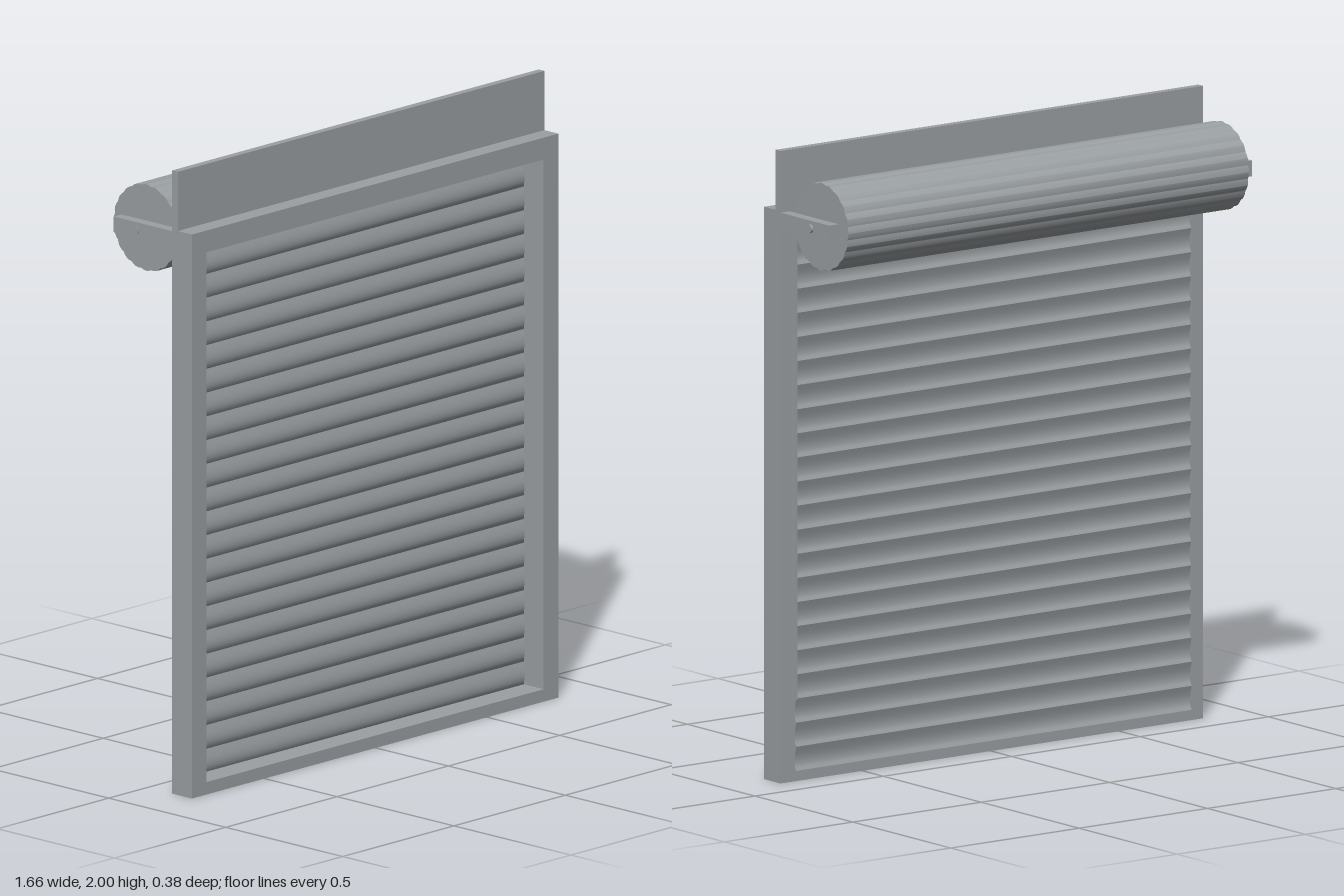
import * as THREE from 'three';
import { toCreasedNormals } from 'three/addons/utils/BufferGeometryUtils.js';

export function createModel() {
  const model = new THREE.Group();
  const steel = new THREE.MeshStandardMaterial({ color: 0x9ba0a3 });
  const cx = -0.003;

  function add(name, geometry, x, y, z) {
    const mesh = new THREE.Mesh(geometry, steel);
    mesh.name = name;
    mesh.position.set(x, y, z);
    model.add(mesh);
  }
  // side profile of (z, y) points, extruded along x and centred
  function profile(points, width, crease) {
    const geometry = new THREE.ExtrudeGeometry(new THREE.Shape(points), { depth: width, bevelEnabled: false });
    geometry.translate(0, 0, -width / 2);
    geometry.rotateY(-Math.PI / 2);
    return toCreasedNormals(geometry, crease);
  }
  const v = (x, y) => new THREE.Vector2(x, y);

  // Frame with its rectangular opening, and the panel on top
  const outline = new THREE.Shape([v(-0.826, 0), v(0.82, 0), v(0.82, 1.81), v(-0.826, 1.81)]);
  outline.holes.push(new THREE.Path([v(-0.76, 0.04), v(-0.76, 1.74), v(0.754, 1.74), v(0.754, 0.04)]));
  add('frame', new THREE.ExtrudeGeometry(outline, { depth: 0.085, bevelEnabled: false }), 0, 0, 0.105);
  add('headerPanel', new THREE.BoxGeometry(1.646, 0.19, 0.025), cx, 1.905, 0.1175);

  // Curtain of curved interlocking slats
  const pitch = 0.0762;
  const steps = 8;
  const front = [], back = [];
  for (let i = 0; i <= steps; i++) {
    const t = i / steps;
    const bulge = 0.009 * Math.sin(Math.PI * Math.pow(t, 0.75));
    front.push(v(0.099 + bulge, t * pitch));
    back.unshift(v(0.094 + bulge, t * pitch));
  }
  const slatGeometry = profile([...front, ...back], 1.54, 0.5);
  for (let i = 0; i < 23; i++) add('slat', slatGeometry, cx, 0.035 + i * pitch, 0);

  // Fluted roll of wound slats
  const lobes = 20, perLobe = 4, ring = [];
  for (let i = 0; i < lobes * perLobe; i++) {
    const a = ((i - perLobe / 2) / (lobes * perLobe)) * Math.PI * 2;
    const r = 0.135 + 0.004 * Math.sin(((i % perLobe) / perLobe) * Math.PI);
    ring.push(v(r * Math.cos(a), r * Math.sin(a)));
  }
  add('roll', profile(ring, 1.56, 0.28), cx, 1.78, -0.047);

  // Axle through both brackets
  const axle = new THREE.CylinderGeometry(0.013, 0.013, 1.656, 16);
  axle.rotateZ(Math.PI / 2);
  add('axle', axle, 0, 1.78, -0.05);

  // Brackets and guide rails on both sides
  for (const s of [-1, 1]) {
    add('bracket', new THREE.BoxGeometry(0.036, 0.05, 0.25), cx + s * 0.805, 1.78, -0.02);
    add('guideRail', new THREE.BoxGeometry(0.014, 1.5, 0.015), cx + s * 0.775, 1.01, 0.0985);
  }
  return model;
}
